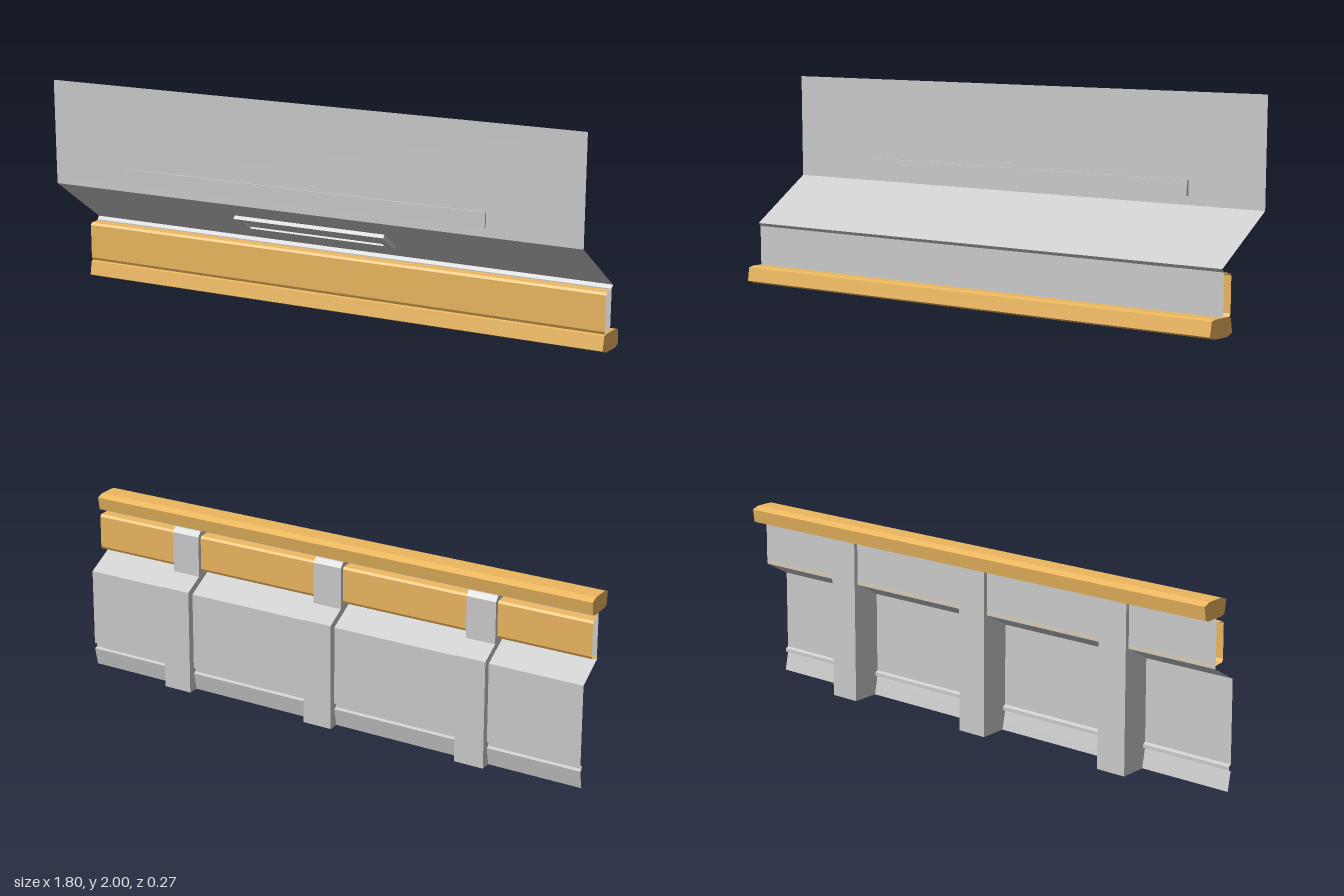
import * as THREE from 'three';

const HALF = 0.9;
const grey = new THREE.MeshStandardMaterial({ color: 0xcccccc, side: THREE.DoubleSide, flatShading: true });
const wood = new THREE.MeshStandardMaterial({ color: 0xecb75f, side: THREE.DoubleSide, flatShading: true });

// Solid bar: closed [z, y] profile extruded along x, centred on cx
function bar(name, profile, width, cx, material) {
  const shape = new THREE.Shape(profile.map(([z, y]) => new THREE.Vector2(z, y)));
  const geo = new THREE.ExtrudeGeometry(shape, { depth: width, bevelEnabled: false });
  geo.rotateY(-Math.PI / 2).translate(cx + width / 2, 0, 0);
  const mesh = new THREE.Mesh(geo, material);
  mesh.name = name;
  return mesh;
}

// Thin folded sheet: open [z, y] profile, listed bottom to top, swept over the full length
function sheet(name, profile, material) {
  const pos = [];
  for (let i = 0; i + 1 < profile.length; i++) {
    const [z0, y0] = profile[i];
    const [z1, y1] = profile[i + 1];
    const a = [-HALF, y0, z0], b = [HALF, y0, z0], c = [HALF, y1, z1], d = [-HALF, y1, z1];
    pos.push(...a, ...b, ...c, ...a, ...c, ...d);
  }
  const geo = new THREE.BufferGeometry();
  geo.setAttribute('position', new THREE.Float32BufferAttribute(pos, 3));
  geo.computeVertexNormals();
  const mesh = new THREE.Mesh(geo, material);
  mesh.name = name;
  return mesh;
}

const rectangle = (Type, w, h) => new Type([
  new THREE.Vector2(-w / 2, -h / 2), new THREE.Vector2(w / 2, -h / 2),
  new THREE.Vector2(w / 2, h / 2), new THREE.Vector2(-w / 2, h / 2),
]);

// Shallow lamp tray: frame with a recessed panel, facing local +z
function lamp() {
  const group = new THREE.Group();
  group.name = 'slopeLamp';
  const frameShape = rectangle(THREE.Shape, 0.52, 0.085);
  frameShape.holes.push(rectangle(THREE.Path, 0.47, 0.045));
  const frame = new THREE.Mesh(
    new THREE.ExtrudeGeometry(frameShape, { depth: 0.012, bevelEnabled: false }), grey);
  frame.name = 'lampFrame';
  const panel = new THREE.Mesh(new THREE.BoxGeometry(0.47, 0.045, 0.005), grey);
  panel.name = 'lampPanel';
  panel.position.z = 0.0035;
  group.add(frame, panel);
  return group;
}

export function createModel() {
  const model = new THREE.Group();
  model.name = 'wallSection';

  // Lower wall: kicked-in foot, groove, front panel, sloped shelf, back wall
  model.add(sheet('lowerWall', [
    [0.005, 0], [0.018, 0.06], [0.008, 0.064], [0.008, 0.075], [0.018, 0.08],
    [0.018, 0.34], [-0.072, 0.39], [-0.072, 0.54],
  ], grey));

  // Upper wall: back wall, overhanging slope, vertical top
  model.add(sheet('upperWall', [
    [-0.072, 1.395], [-0.072, 1.525], [-0.08, 1.535], [0.129, 1.677], [0.129, 2],
  ], grey));

  // Wooden trim boards with returned lips
  for (const [name, y] of [['lowerTrim', 0.4], ['upperTrim', 1.395]]) {
    model.add(sheet(name, [
      [-0.076, y], [-0.04, y + 0.003], [-0.035, y + 0.012],
      [-0.035, y + 0.118], [-0.04, y + 0.125], [-0.07, y + 0.127],
    ], wood));
  }

  // Window rails, mirrored across the opening
  const railProfile = [
    [-0.033, 0], [-0.05, -0.004], [-0.11, -0.004], [-0.127, 0],
    [-0.134, 0.043], [-0.11, 0.052], [-0.05, 0.052], [-0.025, 0.043],
  ];
  const rail = (name, base, dir) =>
    bar(name, railProfile.map(([z, y]) => [z, base + dir * y]), 2 * HALF, 0, wood);
  model.add(rail('lowerRail', 0.545, 1), rail('upperRail', 1.395, -1));

  // Three stepped support posts
  const postProfile = [
    [0.041, 0], [0.041, 0.353], [-0.022, 0.388], [-0.022, 0.525],
    [-0.035, 0.541], [-0.086, 0.541], [-0.086, 0],
  ];
  for (const x of [-0.545, -0.006, 0.537]) model.add(bar('supportPost', postProfile, 0.1, x, grey));

  // Long strip set through the top wall
  const strip = new THREE.Mesh(new THREE.BoxGeometry(1.24, 0.045, 0.015), grey);
  strip.name = 'wallStrip';
  strip.position.set(-0.02, 1.726, 0.1275);
  model.add(strip);

  // Lamp under the slope, tilted to face down and forward
  const tray = lamp();
  tray.position.set(-0.02, 1.607, 0.0305);
  tray.rotation.x = Math.atan2(0.209, 0.142);
  model.add(tray);

  return model;
}
